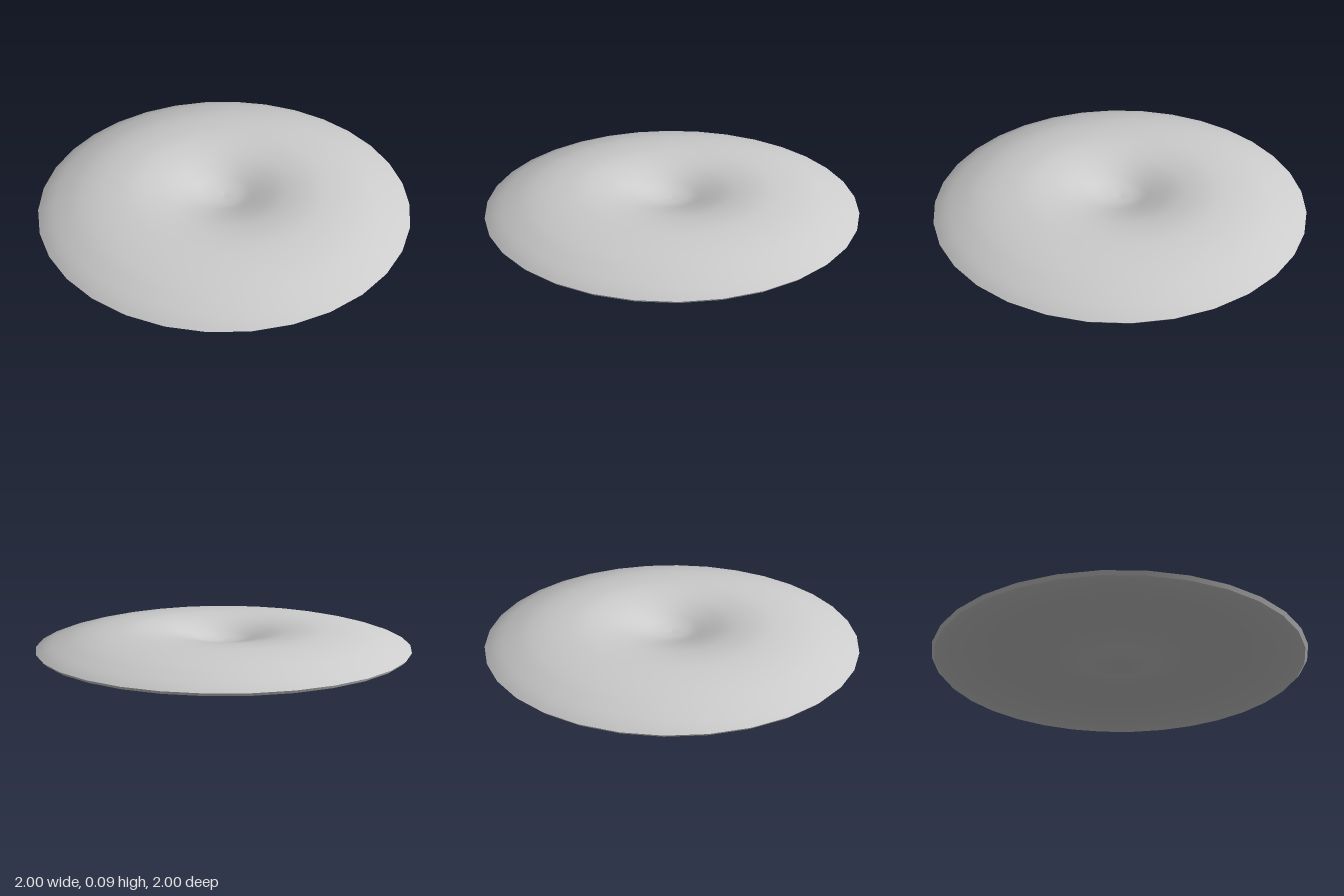
import * as THREE from 'three';

const SIDES = 32;
const SOFTEN = 2; // rounder shading than the flattened form alone would give

// Radius and height of the upper surface, from the middle of the dip to the rim
const PROFILE = [
  [0, 0.026], [0.1, 0.034], [0.2, 0.057], [0.3, 0.078], [0.4, 0.09], [0.5, 0.095],
  [0.6, 0.092], [0.7, 0.084], [0.8, 0.07], [0.9, 0.048], [0.96, 0.031], [1, 0.016],
];

// Turns a profile; it is lathed tall for its normals, then flattened
function turned(name, points, material) {
  const tall = points.map((p) => new THREE.Vector2(p.x, p.y * SOFTEN));
  const geometry = new THREE.LatheGeometry(tall, SIDES);
  const position = geometry.attributes.position;
  for (let i = 0; i < position.count; i++) position.setY(i, position.getY(i) / SOFTEN);
  const mesh = new THREE.Mesh(geometry, material);
  mesh.name = name;
  return mesh;
}

export function createModel() {
  const group = new THREE.Group();
  group.name = 'dishedDisc';
  const material = new THREE.MeshStandardMaterial({ color: 0xcccccc });

  const curve = new THREE.SplineCurve(PROFILE.map(([r, y]) => new THREE.Vector2(r, y)));
  const upper = curve.getPoints(33);
  upper[0].x = 0;

  // Underside follows the upper surface at a constant thickness
  const lower = upper.map((p) => new THREE.Vector2(p.x * 0.985, p.y - 0.016));

  group.add(turned('upperSurface', [...upper].reverse(), material));
  group.add(turned('underside', lower, material));

  // Narrow lip joining both surfaces around the rim
  group.add(turned('rimLip', [lower[lower.length - 1], upper[upper.length - 1]], material));
  return group;
}
